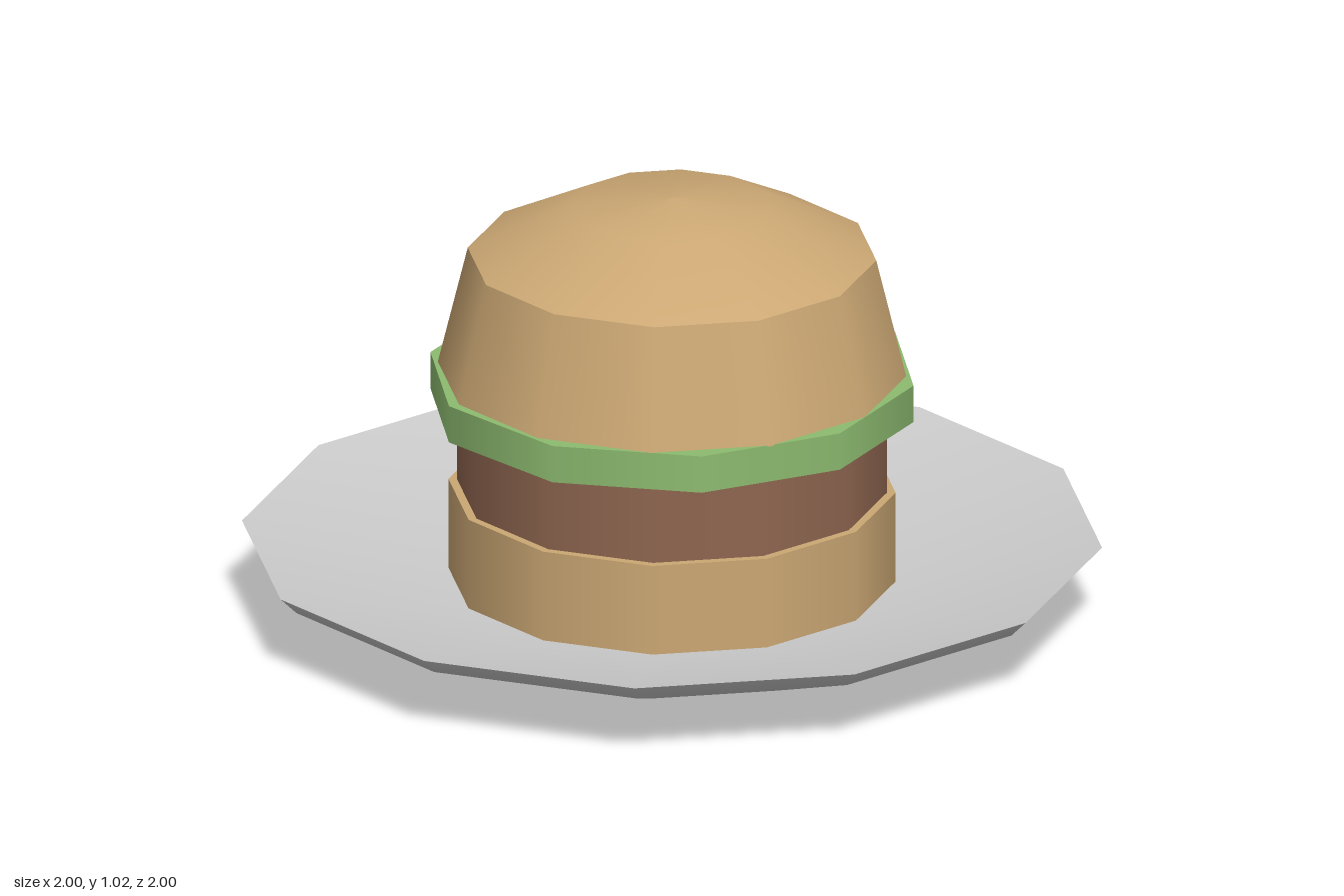
import * as THREE from 'three';
import { mergeGeometries } from 'three/addons/utils/BufferGeometryUtils.js';

// Each run is a smooth stretch of profile [radius, y], from bottom to top;
// a hard edge falls between consecutive runs.
function turned(name, color, sides, runs) {
  const parts = runs.map((run) => new THREE.LatheGeometry(
    run.map(([r, y]) => new THREE.Vector2(r, y)), sides, Math.PI / 2));
  const mesh = new THREE.Mesh(mergeGeometries(parts), new THREE.MeshStandardMaterial({ color }));
  mesh.name = name;
  return mesh;
}

// Straight-sided slice with flat top and bottom
function slice(name, color, sides, r, y0, y1) {
  return turned(name, color, sides, [
    [[0, y0], [r, y0]],
    [[r, y0], [r, y1]],
    [[r, y1], [0, y1]],
  ]);
}

export function createModel() {
  const group = new THREE.Group();
  group.name = 'burgerOnPlate';
  const bread = 0xcca874;

  // Shallow dish with a flared rim
  group.add(turned('plate', 0xcccccc, 12, [
    [[0, 0], [0.57, 0]],
    [[0.57, 0], [0.96, 0.15], [1, 0.19]],
    [[1, 0.19], [0.52, 0.09], [0, 0.09]],
  ]));

  // Fillings, stacked from the plate up
  group.add(slice('bottomBun', bread, 12, 0.52, 0.085, 0.31));
  group.add(slice('patty', 0x8f6650, 12, 0.5, 0.31, 0.51));
  group.add(slice('lettuce', 0x8dbb70, 10, 0.57, 0.51, 0.6));

  // Tapered bun with a soft crown
  group.add(turned('topBun', bread, 12, [
    [[0, 0.598], [0.545, 0.598]],
    [[0.545, 0.598], [0.475, 0.885]],
    [[0.475, 0.885], [0.235, 1.005], [0, 1.025]],
  ]));
  return group;
}
